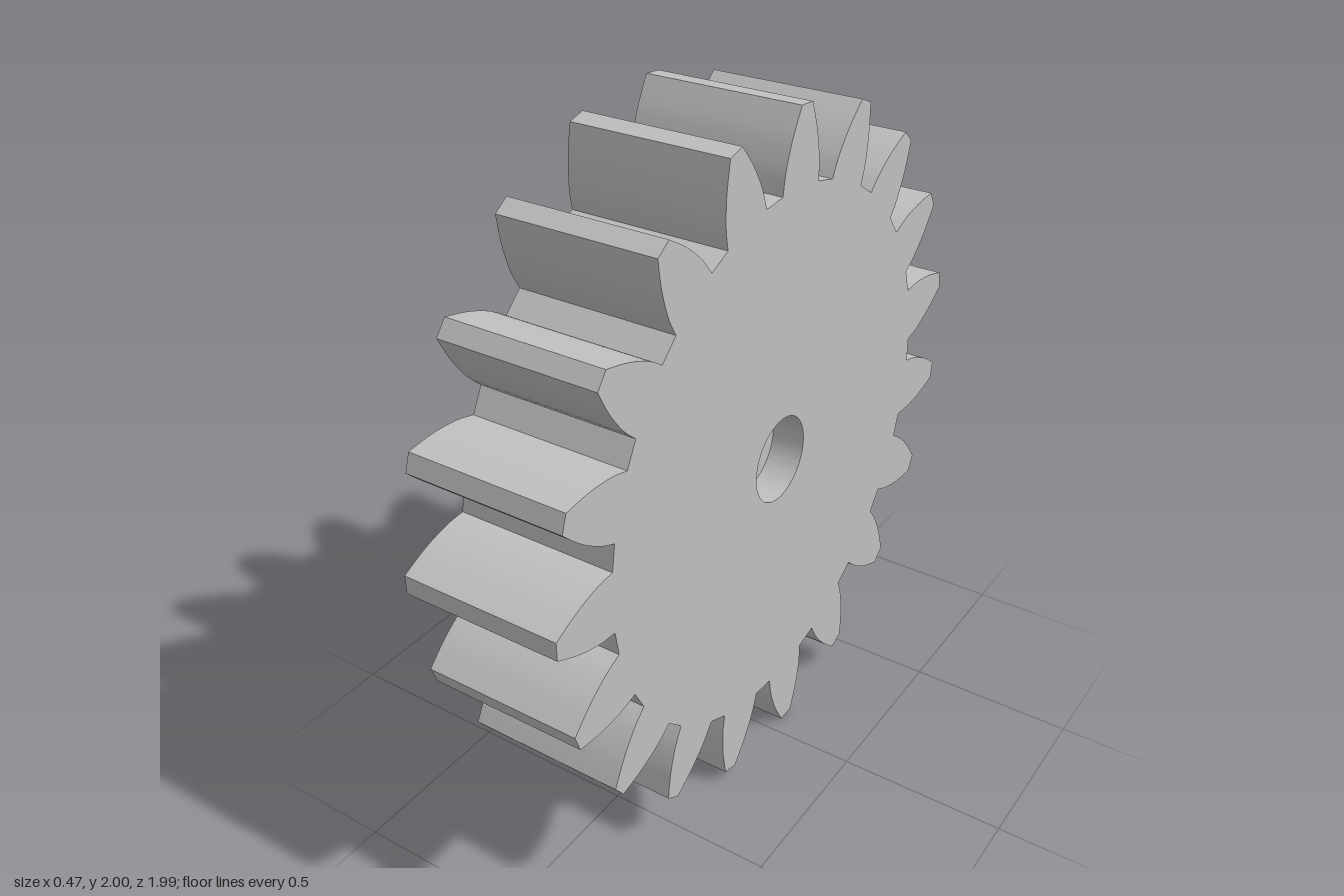
import * as THREE from 'three';
import { toCreasedNormals } from 'three/addons/utils/BufferGeometryUtils.js';

const TEETH = 19;
const FACE = 0.235; // half the gear width along x

// Point at distance r along direction a, shifted sideways by w
const polar = (r, w, a) => new THREE.Vector2(
  r * Math.cos(a) - w * Math.sin(a),
  r * Math.sin(a) + w * Math.cos(a)
);

// Toothed outline: curved flanks, flat tips, short root lands
function gearShape() {
  const flank = new THREE.SplineCurve([
    [0.78, 0.091], [0.83, 0.087], [0.875, 0.077], [0.92, 0.063], [0.96, 0.046], [1.0, 0.027],
  ].map(([r, w]) => new THREE.Vector2(r, w))).getPoints(12);
  const points = [];
  for (let i = 0; i < TEETH; i++) {
    const a = Math.PI + (i / TEETH) * Math.PI * 2;
    flank.forEach((p) => points.push(polar(p.x, -p.y, a)));
    [...flank].reverse().forEach((p) => points.push(polar(p.x, p.y, a)));
  }
  return new THREE.Shape(points);
}

// Six tapered arms with round ends, meeting at inner corners
function starPocket() {
  const points = [];
  const centre = 0.6, radius = 0.143, cornerRadius = 0.375;
  const taper = THREE.MathUtils.degToRad(9);
  for (let i = 0; i < 6; i++) {
    const a = Math.PI / 6 + (i * Math.PI) / 3;
    points.push(polar(cornerRadius, 0, a - Math.PI / 6));
    for (let k = 0; k <= 20; k++) {
      const t = (Math.PI / 2 - taper) * (k / 10 - 1);
      points.push(polar(centre + radius * Math.cos(t), radius * Math.sin(t), a));
    }
  }
  return new THREE.Path(points);
}

const roundHole = (r) => new THREE.Path().absarc(0, 0, r, 0, Math.PI * 2, true);

export function createModel() {
  const group = new THREE.Group();
  group.name = 'gear';
  const grey = new THREE.MeshStandardMaterial({ color: 0xc0c0c0 });
  grey.name = 'light grey';

  // One slice of the gear from x0 to x1 with a hole cut through it
  function addLayer(name, x0, x1, hole) {
    const shape = gearShape();
    shape.holes.push(hole);
    const extruded = new THREE.ExtrudeGeometry(shape, {
      depth: x1 - x0, bevelEnabled: false, curveSegments: 48,
    });
    extruded.rotateY(Math.PI / 2);
    extruded.translate(x0, 1, 0);
    const mesh = new THREE.Mesh(toCreasedNormals(extruded, Math.PI / 6), grey);
    mesh.name = name;
    group.add(mesh);
  }

  addLayer('pocketLayer', -FACE, 0.075, starPocket());
  addLayer('pocketFloorLayer', 0.075, 0.135, roundHole(0.05));
  addLayer('counterboreLayer', 0.135, FACE, roundHole(0.127));
  return group;
}
